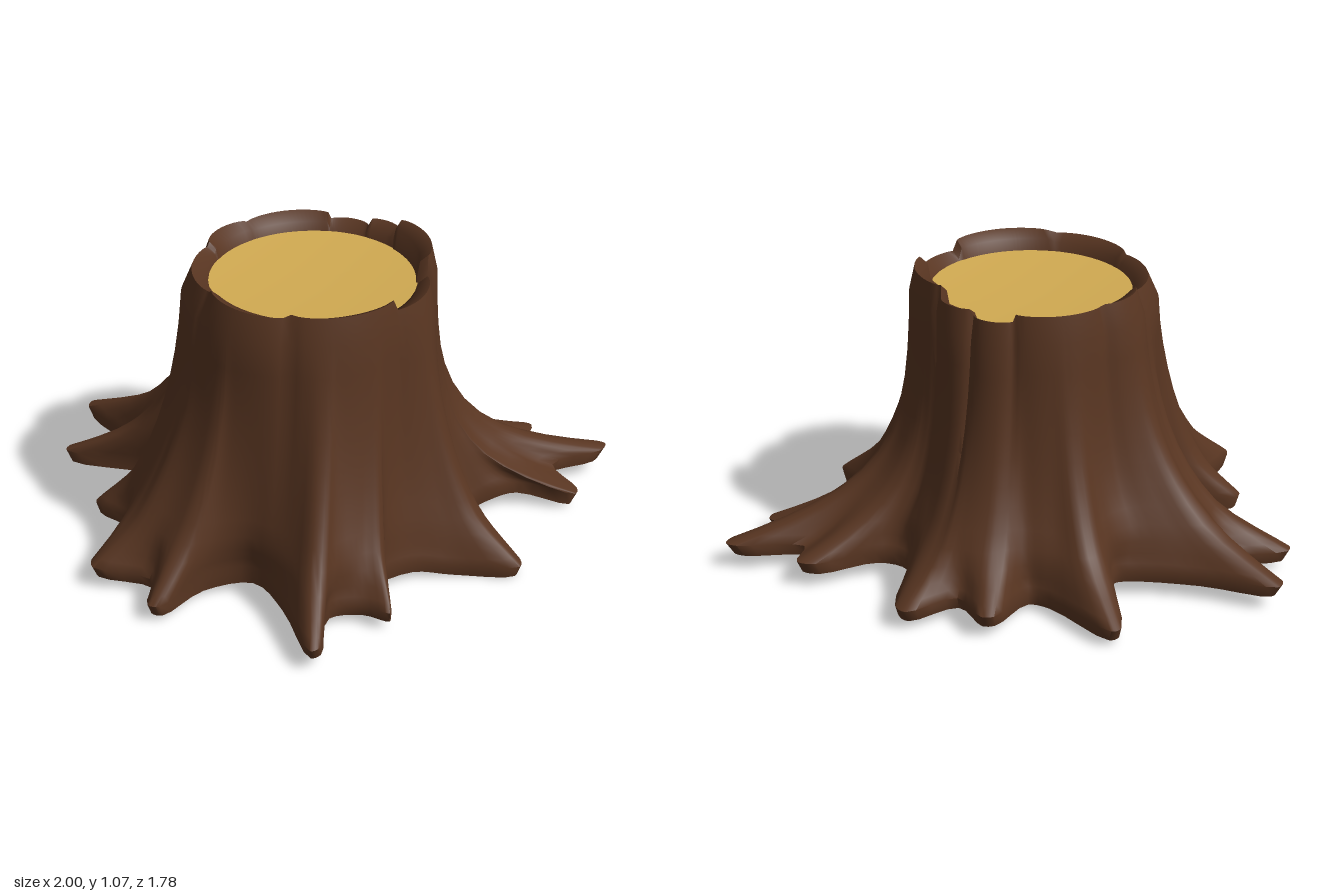
import * as THREE from 'three';
import { toCreasedNormals } from 'three/addons/utils/BufferGeometryUtils.js';

const CX = -0.105, CZ = 0.07; // trunk axis

// Root outlines on the ground as [x, z] going from +x through +z.
// fall: how gently the root drops away from the trunk; y: rim height.
const ROOTS = [
  { fall: 0.185, y: 0.06, pts: [[0.49, -0.08], [0.56, 0.02], [0.78, 0.05], [0.83, 0.1], [0.76, 0.19], [0.97, 0.31], [0.995, 0.35], [0.95, 0.38], [0.74, 0.37]] },
  { fall: 0.19, y: 0.025, pts: [[0.76, 0.5], [0.73, 0.53]] },
  { fall: 0.2, y: 0.06, pts: [[0.57, 0.41], [0.46, 0.4]] },
  { fall: 0.32, y: 0.04, pts: [[0.36, 0.4], [0.31, 0.45]] },
  { fall: 0.45, y: 0.01, pts: [[0.34, 0.75], [0.31, 0.79], [0.12, 0.67]] },
  { fall: 0.42, y: 0.04, pts: [[-0.02, 0.62], [-0.2, 0.64], [-0.22, 0.8], [-0.24, 0.83], [-0.3, 0.75], [-0.41, 0.71]] },
  { fall: 0.45, y: 0.05, pts: [[-0.54, 0.885], [-0.58, 0.885], [-0.53, 0.6], [-0.54, 0.41]] },
  { fall: 0.42, y: 0.03, pts: [[-0.7, 0.34], [-0.89, 0.4], [-0.92, 0.37], [-0.85, 0.24]] },
  { fall: 0.52, y: 0.05, pts: [[-1, 0.11], [-0.985, 0.06], [-0.77, -0.08]] },
  { fall: 0.36, y: 0.06, pts: [[-0.83, -0.24], [-0.79, -0.27], [-0.57, -0.2], [-0.5, -0.27]] },
  { fall: 0.29, y: 0.04, pts: [[-0.54, -0.41], [-0.77, -0.64], [-0.74, -0.67], [-0.54, -0.61]] },
  { fall: 0.29, y: 0.06, pts: [[-0.58, -0.86], [-0.54, -0.89], [-0.36, -0.7], [-0.15, -0.54], [-0.1, -0.53]] },
  { fall: 0.33, y: 0.03, pts: [[0.05, -0.81], [0.09, -0.81], [0.16, -0.52], [0.21, -0.46]] },
  { fall: 0.32, y: 0.05, pts: [[0.4, -0.56], [0.44, -0.54], [0.45, -0.39]] },
  { fall: 0.28, y: 0.04, pts: [[0.64, -0.37], [0.65, -0.31]] },
];

// Bark plates round the broken rim: [end angle in degrees, top height]
const PLATES = [[-30, 1.005], [-8, 1.03], [35, 1.075], [76, 1.0], [130, 1.04], [180, 1.03],
  [232, 1.02], [262, 1.035], [308, 1.03], [330, 1.005]];

function plateAt(angle) {
  let deg = THREE.MathUtils.radToDeg(angle);
  deg = THREE.MathUtils.euclideanModulo(deg + 30, 360) - 30;
  const i = PLATES.findIndex(p => deg < p[0]);
  const k = i < 0 ? PLATES.length - 1 : i;
  const start = PLATES[k - 1][0];
  const t = (deg - start) / (PLATES[k][0] - start);
  return { height: PLATES[k][1], bulge: 0.028 * Math.sqrt(Math.max(0, Math.sin(Math.PI * t))) - 0.018 };
}

// Smooth closed outline with the fall and rim height carried along it
function makeColumns() {
  const flat = ROOTS.flatMap(r => r.pts.map(p => ({ x: p[0], z: p[1], fall: r.fall, y: r.y })));
  const curve = new THREE.CatmullRomCurve3(flat.map(p => new THREE.Vector3(p.x, p.y, p.z)), true, 'centripetal');
  const sub = 4, n = flat.length * sub;
  const cols = [];
  let last = 0;
  for (let i = 0; i < n; i++) {
    const p = curve.getPoint(i / n);
    const a = flat[Math.floor(i / sub)], b = flat[(Math.floor(i / sub) + 1) % flat.length];
    let ang = Math.atan2(p.z - CZ, p.x - CX);
    if (i) ang = last + Math.atan2(Math.sin(ang - last), Math.cos(ang - last));
    last = ang;
    cols.push({ x: p.x, y: Math.max(0, p.y), z: p.z, ang, fall: THREE.MathUtils.lerp(a.fall, b.fall, (i % sub) / sub) });
  }
  // Even, ever-increasing angles for the trunk end of each column
  const sorted = cols.map(c => c.ang).sort((a, b) => a - b);
  const at = i => sorted[(i + n) % n] + (i < 0 ? -2 * Math.PI : i >= n ? 2 * Math.PI : 0);
  const average = (i, reach, value) => {
    let sum = 0;
    for (let k = -reach; k <= reach; k++) sum += value(i + k);
    return sum / (2 * reach + 1);
  };
  // Rounded outline for the upper root: forks only show near the tips,
  // while the valleys between roots stay deep
  return cols.map((c, i) => {
    const sx = average(i, 7, k => cols[(k + n) % n].x);
    const sz = average(i, 7, k => cols[(k + n) % n].z);
    const r = Math.hypot(c.x - CX, c.z - CZ), rs = Math.hypot(sx - CX, sz - CZ);
    const ang = average(i, 4, at);
    return {
      ...c, sx, sz,
      ang: ang - 0.2 * Math.exp(-(((ang - 1.7) / 0.5) ** 2)), // front bark leans sideways
      fall: average(i, 4, k => cols[(k + n) % n].fall),
      round: (rs > r ? 0.85 : 0.55) * THREE.MathUtils.smoothstep(Math.max(r, rs), 0.5, 0.75),
    };
  });
}

function barkGeometry() {
  const cols = makeColumns(), n = cols.length;
  const steps = [1, 0.87, 0.75, 0.63, 0.52, 0.42, 0.33, 0.25, 0.18, 0.12, 0.07, 0.03, 0];
  const rows = steps.length + 4;
  const pos = [], index = [];
  const { lerp, smoothstep } = THREE.MathUtils;
  const columns = cols.map(c => {
    const { height, bulge } = plateAt(c.ang);
    const cos = Math.cos(c.ang), sin = Math.sin(c.ang);
    const girth = 0.425 + bulge + 0.022 * Math.max(0, -cos);
    const trunk = (r, y) => [CX + r * cos, y, CZ + r * sin];
    const column = [trunk(0.348, 0.93), trunk(0.366, height - 0.025), trunk(0.405 + bulge, height)];
    const low = c.y + 0.045, high = height - 0.09;
    const end = Math.exp(-(high - low) / c.fall);
    const mix = (f, y, w) => {
      const t = trunk(girth, y);
      return [lerp(t[0], lerp(c.x, c.sx, w), f), y, lerp(t[2], lerp(c.z, c.sz, w), f)];
    };
    for (const s of steps) {
      const y = low + (high - low) * s;
      const f = (Math.exp(-(y - low) / c.fall) - end) / (1 - end);
      column.push(mix(f, y, c.round * smoothstep(s, 0, 0.2)));
    }
    column.push(mix(0.96, c.y, 0)); // rim tucked under
    return column;
  });
  for (let i = 0; i < rows; i++) for (let j = 0; j < n; j++) pos.push(...columns[j][i]);
  for (let i = 0; i < rows - 1; i++) {
    for (let j = 0; j < n; j++) {
      const a = i * n + j, b = i * n + (j + 1) % n;
      index.push(a, b, a + n, b, b + n, a + n);
    }
  }
  const g = new THREE.BufferGeometry();
  g.setAttribute('position', new THREE.Float32BufferAttribute(pos, 3));
  g.setIndex(index);
  return toCreasedNormals(g, 1);
}

// Slightly dished round face looking upward
function cutGeometry() {
  const g = new THREE.CircleGeometry(0.36, 40).rotateX(-Math.PI / 2);
  g.attributes.position.setY(0, -0.02);
  g.computeVertexNormals();
  return g;
}

export function createModel() {
  const bark = new THREE.MeshStandardMaterial({ color: 0x583521, side: THREE.DoubleSide });
  bark.name = 'brown bark';
  const wood = new THREE.MeshStandardMaterial({ color: 0xd2ab52, side: THREE.DoubleSide });
  wood.name = 'pale wood';

  const group = new THREE.Group();
  group.name = 'treeStump';

  // Trunk, broken rim and spreading roots, hollow underneath
  const trunk = new THREE.Mesh(barkGeometry(), bark);
  trunk.name = 'trunkAndRoots';
  group.add(trunk);

  const cut = new THREE.Mesh(cutGeometry(), wood);
  cut.name = 'cutFace';
  cut.position.set(CX, 0.972, CZ);
  group.add(cut);

  return group;
}
